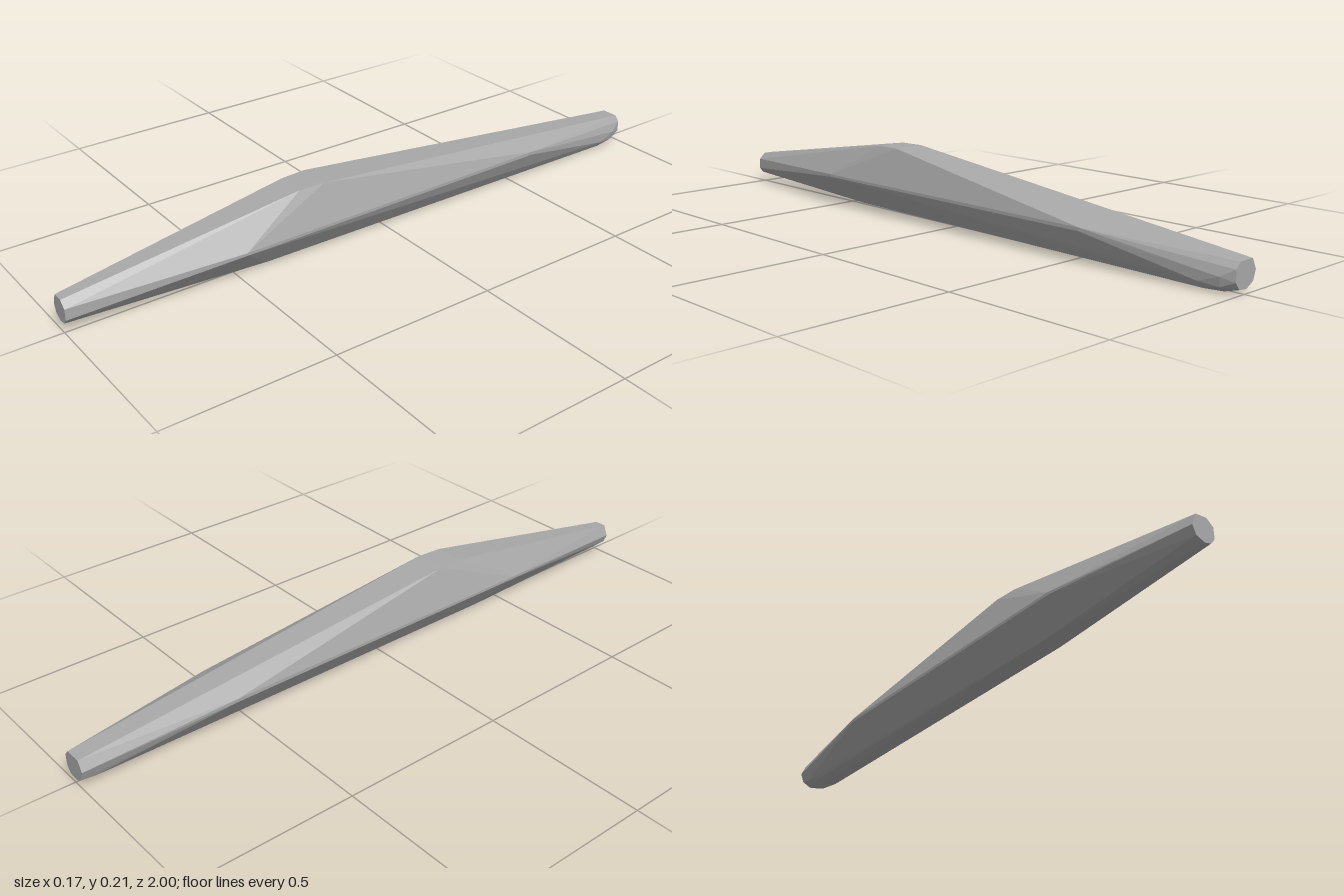
import * as THREE from 'three';
import { ConvexGeometry } from 'three/addons/geometries/ConvexGeometry.js';

// Cross-sections along the length: z, then [x, y] corners
const SECTIONS = [
  // front tip, a small octagon
  { z: 1, pts: [[-0.034, 0.099], [0, 0.099], [0.02, 0.08], [0.021, 0.047], [0.008, 0.032], [-0.012, 0.028], [-0.038, 0.04], [-0.048, 0.066]] },
  // widest front corners
  { z: 0.5, pts: [[-0.087, 0.1], [0.087, 0.1], [-0.087, 0.092], [0.087, 0.092]] },
  // belly start
  { z: 0.4, pts: [[-0.03, 0.015], [0, 0.011], [0.03, 0.013]] },
  // flat crest
  { z: 0.3, pts: [[-0.046, 0.212], [0.046, 0.212]] },
  { z: 0.22, pts: [[-0.05, 0.213], [0.05, 0.213]] },
  // widest rear corners
  { z: -0.55, pts: [[-0.087, 0.102], [0.087, 0.102], [-0.087, 0.092], [0.087, 0.092]] },
  // belly end
  { z: -0.9, pts: [[-0.025, 0.013], [0, 0.005], [0.024, 0], [0.042, 0.007], [0.054, 0.024]] },
  { z: -0.96, pts: [[-0.035, 0.022], [0.025, 0.004], [0.044, 0.018], [0.05, 0.045]] },
  // rear tip
  { z: -1, pts: [[-0.03, 0.085], [0.022, 0.085], [0.037, 0.068], [0.037, 0.035], [0.022, 0.015], [-0.008, 0.012], [-0.035, 0.027], [-0.045, 0.055]] },
];

export function createModel() {
  const group = new THREE.Group();
  const grey = new THREE.MeshStandardMaterial({ color: 0xa8a8a8 });
  grey.name = 'grey';

  // Faceted convex body wrapped around the sections
  const points = SECTIONS.flatMap(({ z, pts }) => pts.map(([x, y]) => new THREE.Vector3(x, y, z)));
  const body = new THREE.Mesh(new ConvexGeometry(points), grey);
  body.name = 'body';
  group.add(body);
  return group;
}
